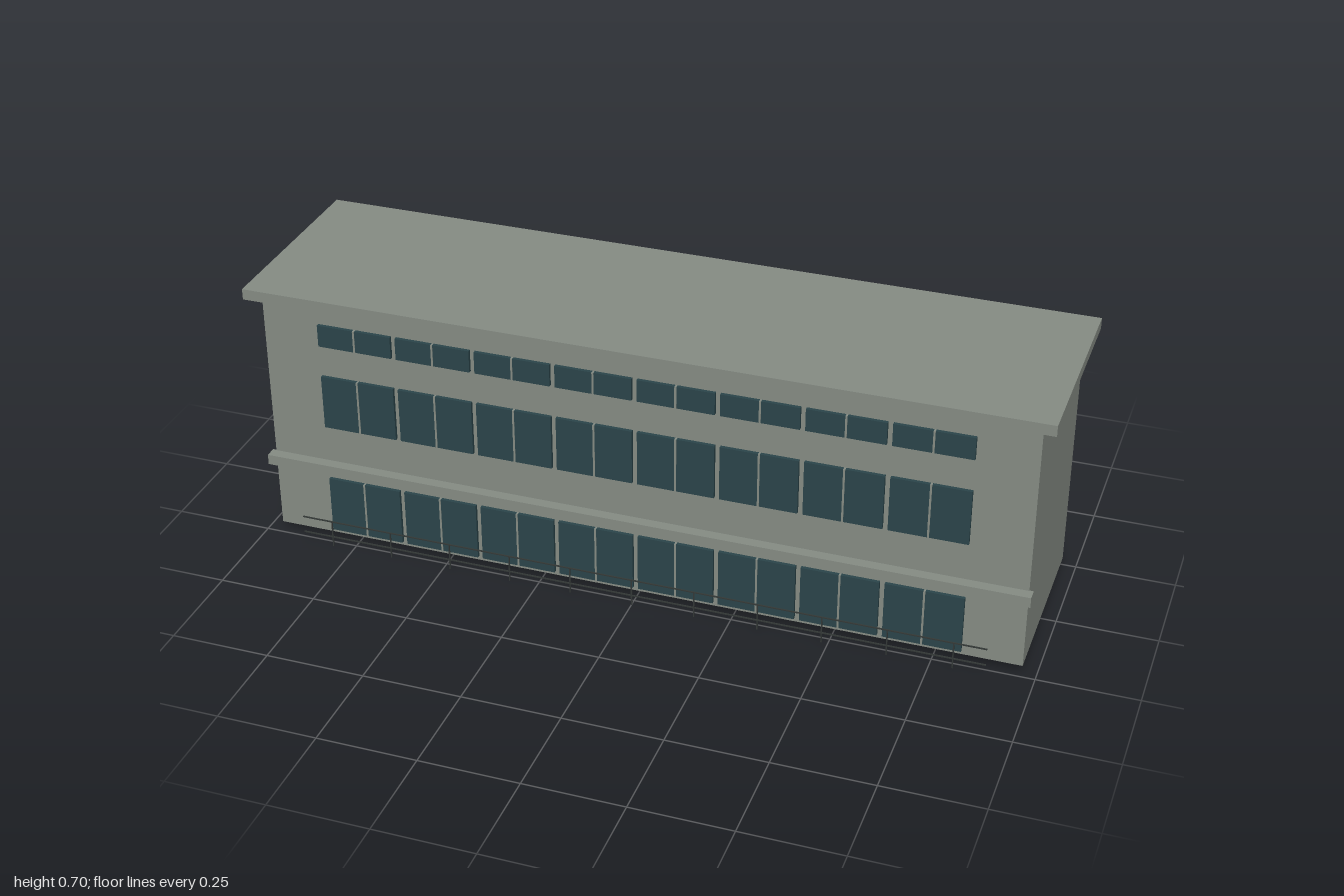
import * as THREE from 'three';

export function createModel() {
  const model = new THREE.Group();
  const paint = (name, color) => {
    const m = new THREE.MeshStandardMaterial({ color });
    m.name = name;
    return m;
  };
  const concrete = paint('concrete grey', 0x868c84);
  const glass = paint('dark teal glass', 0x2b454a);
  const metal = paint('dark rail metal', 0x343937);

  // Box given by its minimum and maximum corners
  const block = (name, material, [x0, y0, z0], [x1, y1, z1], parent = model) => {
    const mesh = new THREE.Mesh(new THREE.BoxGeometry(x1 - x0, y1 - y0, z1 - z0), material);
    mesh.position.set((x0 + x1) / 2, (y0 + y1) / 2, (z0 + z1) / 2);
    mesh.name = name;
    parent.add(mesh);
    return mesh;
  };
  const group = (name) => {
    const g = new THREE.Group();
    g.name = name;
    model.add(g);
    return g;
  };

  // Main volume, overhanging roof slab and front ledge
  const wallZ = 0.231;
  block('building', concrete, [-0.965, 0.018, -0.252], [0.965, 0.672, wallZ]);
  block('roofSlab', concrete, [-1, 0.672, -0.268], [1, 0.7, 0.263]);
  block('frontLedge', concrete, [-0.975, 0.205, 0.229], [0.975, 0.232, 0.259]);

  // Three window bands: eight bays of two panes split by a mullion
  const bays = 8, pitch = 0.206, bayWidth = 0.193, mullion = 0.005;
  const bands = [
    ['groundWindows', 0.03, 0.182],
    ['middleWindows', 0.333, 0.477],
    ['upperWindows', 0.562, 0.62],
  ];
  for (const [name, y0, y1] of bands) {
    const band = group(name);
    for (let i = 0; i < bays; i++) {
      const cx = (i - (bays - 1) / 2) * pitch;
      for (const s of [-1, 1]) {
        const a = cx + s * mullion / 2, b = cx + s * bayWidth / 2;
        block('pane', glass, [Math.min(a, b), y0, wallZ], [Math.max(a, b), y1, 0.24], band);
      }
      block('mullion', concrete, [cx - mullion / 2, y0, wallZ], [cx + mullion / 2, y1, 0.241], band);
    }
  }

  // Thin railing along the front
  const railing = group('railing');
  const railZ = 0.268, r = 0.0015;
  for (const y of [0.027, 0.072]) {
    block('rail', metal, [-0.885, y - r, railZ - r], [0.885, y + r, railZ + r], railing);
  }
  for (let i = -5; i <= 5; i++) {
    const x = i * 0.161;
    block('railPost', metal, [x - r, 0, railZ - r], [x + r, 0.072, railZ + r], railing);
  }

  return model;
}
